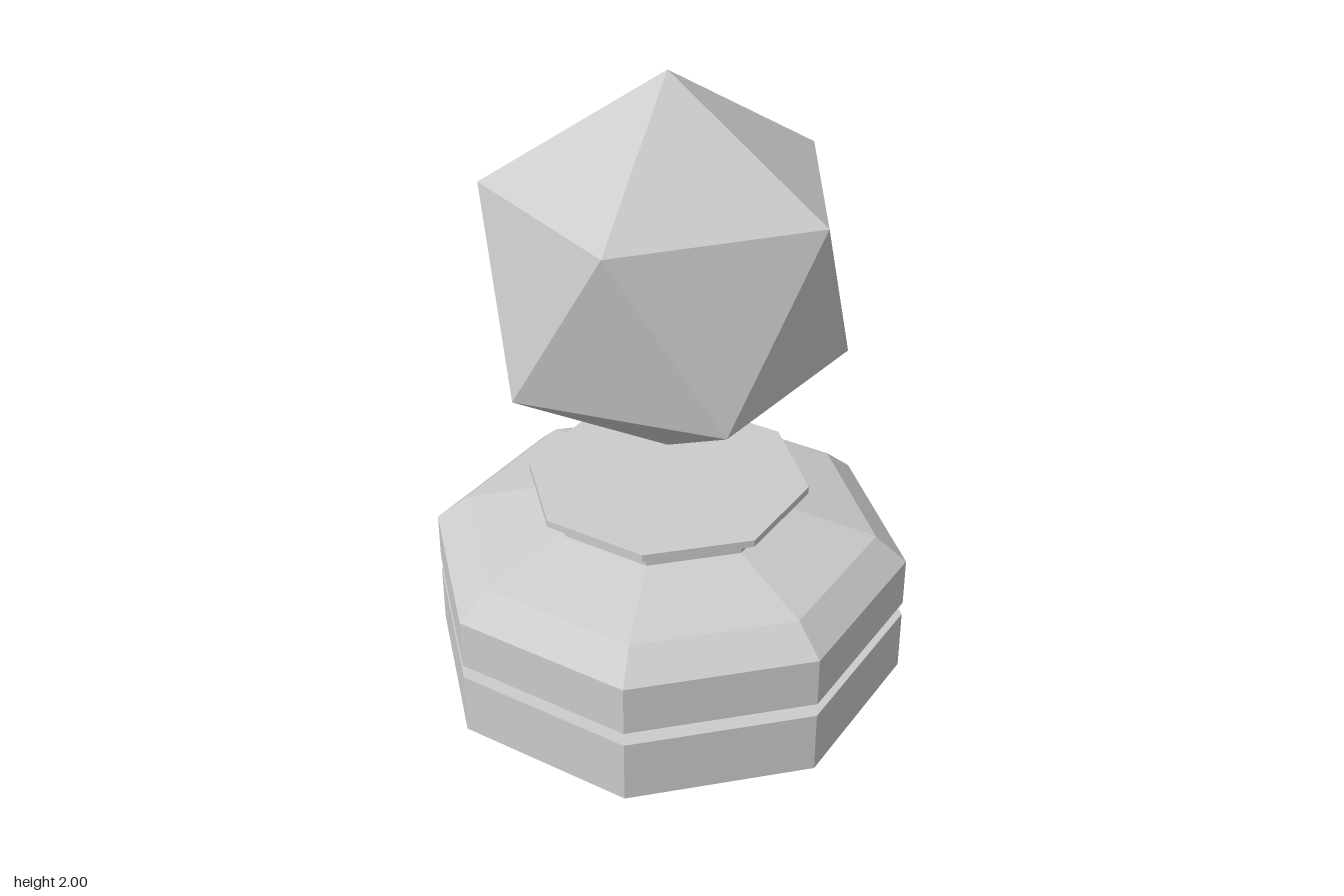
import * as THREE from 'three';

const material = new THREE.MeshStandardMaterial({ color: 0xcccccc, flatShading: true });

function part(name, geometry) {
  const mesh = new THREE.Mesh(geometry, material);
  mesh.name = name;
  return mesh;
}

// Eight-sided turned solid from [radius, height] pairs, bottom to top
function octagonal(name, profile) {
  const points = profile.map(([r, y]) => new THREE.Vector2(r, y));
  return part(name, new THREE.LatheGeometry(points, 8));
}

export function createModel() {
  const model = new THREE.Group();
  model.name = 'crystalPedestal';

  // Pedestal: foot, groove, shouldered body
  model.add(octagonal('pedestalBase', [
    [0, 0], [0.77, 0], [0.77, 0.205],
    [0.68, 0.205], [0.68, 0.25],
    [0.77, 0.25], [0.77, 0.412],
    [0.67, 0.497], [0.387, 0.578],
    // neck and flared top plate
    [0.387, 0.612], [0.45, 0.637], [0.45, 0.66], [0, 0.66],
  ]));

  // Floating crystal, turned to balance on one vertex
  const radius = 0.615;
  const crystal = part('crystal', new THREE.IcosahedronGeometry(radius, 0));
  crystal.geometry.rotateZ(-Math.atan(2 / (1 + Math.sqrt(5))));
  crystal.position.y = 2 - radius;
  model.add(crystal);

  return model;
}
